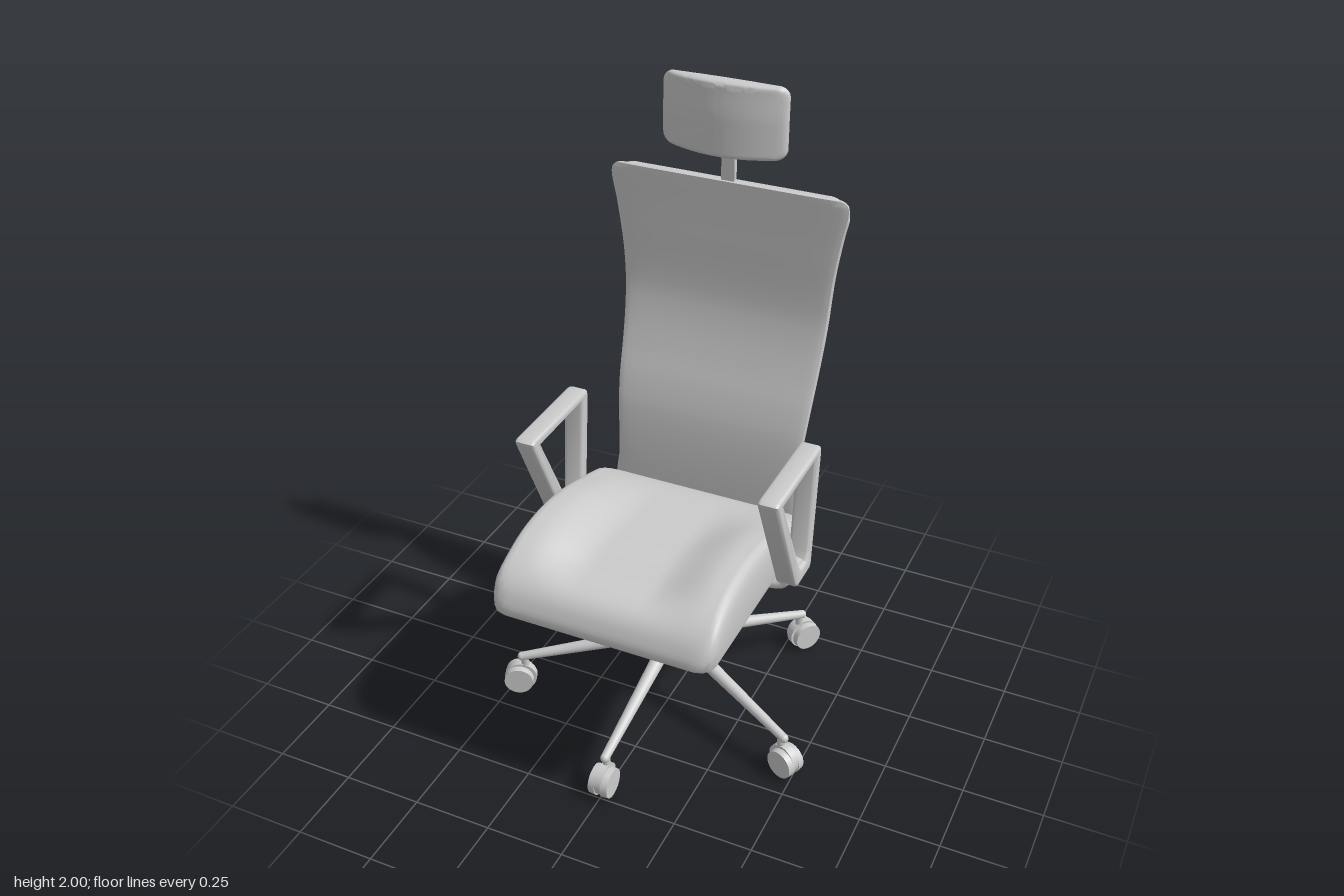
import * as THREE from 'three';
import { toCreasedNormals } from 'three/addons/utils/BufferGeometryUtils.js';

const V = (x, y, z) => new THREE.Vector3(x, y, z);
const material = new THREE.MeshStandardMaterial({ color: 0xcccccc });
const smooth = THREE.MathUtils.smoothstep;

function add(parent, name, geometry) {
  const mesh = new THREE.Mesh(geometry, material);
  mesh.name = name;
  parent.add(mesh);
  return mesh;
}

// Smooth interpolation through [input, value] pairs
function table(pts) {
  const slope = pts.map((p, i) => {
    const a = pts[Math.max(i - 1, 0)], b = pts[Math.min(i + 1, pts.length - 1)];
    return (b[1] - a[1]) / (b[0] - a[0]);
  });
  return (v) => {
    let i = 0;
    while (i < pts.length - 2 && v > pts[i + 1][0]) i++;
    const [x0, y0] = pts[i], [x1, y1] = pts[i + 1], h = x1 - x0;
    const t = Math.min(Math.max((v - x0) / h, 0), 1), t2 = t * t, t3 = t2 * t;
    return (2 * t3 - 3 * t2 + 1) * y0 + (t3 - 2 * t2 + t) * h * slope[i]
      + (3 * t2 - 2 * t3) * y1 + (t3 - t2) * h * slope[i + 1];
  };
}

// Skin closed rings of equal length, cap both ends, face outward
function loft(rings, crease = 0.8) {
  const n = rings[0].length, pts = rings.flat(), idx = [];
  for (let r = 0; r < rings.length - 1; r++)
    for (let i = 0; i < n; i++) {
      const a = r * n + i, b = r * n + (i + 1) % n;
      idx.push(a, b, b + n, a, b + n, a + n);
    }
  [[0, 1], [rings.length - 1, 0]].forEach(([r, flip]) => {
    const c = pts.push(rings[r].reduce((s, p) => s.add(p), V(0, 0, 0)).divideScalar(n)) - 1;
    for (let i = 0; i < n; i++) {
      const a = r * n + i, b = r * n + (i + 1) % n;
      idx.push(...(flip ? [c, b, a] : [c, a, b]));
    }
  });
  let volume = 0;
  for (let i = 0; i < idx.length; i += 3)
    volume += pts[idx[i]].dot(V(0, 0, 0).crossVectors(pts[idx[i + 1]], pts[idx[i + 2]]));
  if (volume < 0) idx.reverse();
  const g = new THREE.BufferGeometry().setFromPoints(pts);
  g.setIndex(idx);
  return toCreasedNormals(g, crease);
}

// Rounded oblong section, points in -1..1
const section = (n, e) => Array.from({ length: n }, (_, i) => {
  const a = (i + 0.5) / n * Math.PI * 2, c = Math.cos(a), s = Math.sin(a);
  return [Math.sign(c) * Math.abs(c) ** e, Math.sign(s) * Math.abs(s) ** e];
});

// Flat bar along a 2D path; depth runs d0..d1 and map places it in space
function ribbon(path, halfW, d0, d1, map, steps = 60) {
  const curve = new THREE.SplineCurve(path.map((p) => new THREE.Vector2(...p)));
  const sec = section(16, 0.5), rings = [];
  for (let i = 0; i <= steps; i++) {
    const p = curve.getPoint(i / steps), t = curve.getTangent(i / steps);
    rings.push(sec.map(([a, b]) => map(p.x - t.y * a * halfW, p.y + t.x * a * halfW, (d0 + d1) / 2 + b * (d1 - d0) / 2)));
  }
  return loft(rings);
}

// Cushion from concentric copies of a rounded rectangle; rings are [scale, level]
function cushion(hw, hh, r, rings, place) {
  const s = new THREE.Shape();
  s.absarc(hw - r, hh - r, r, 0, Math.PI / 2);
  s.absarc(r - hw, hh - r, r, Math.PI / 2, Math.PI);
  s.absarc(r - hw, r - hh, r, Math.PI, Math.PI * 1.5);
  s.absarc(hw - r, r - hh, r, Math.PI * 1.5, Math.PI * 2);
  s.closePath();
  const outline = s.getSpacedPoints(112).slice(0, -1);
  return loft(rings.map(([k, level]) => outline.map((p) => place(p.x * k, p.y * k, level))), 1);
}

// Tapered round rod between two points
function rod(a, b, r0, r1, sides = 20) {
  const d = b.clone().sub(a), g = new THREE.CylinderGeometry(r1, r0, d.length(), sides);
  g.applyQuaternion(new THREE.Quaternion().setFromUnitVectors(V(0, 1, 0), d.normalize()));
  const m = a.clone().add(b).multiplyScalar(0.5);
  return g.translate(m.x, m.y, m.z);
}

const mirrored = (half) => [...half, ...half.filter((p) => p[0] > 0).reverse().map(([x, y]) => [-x, y])];
const rows = (a, b, n) => Array.from({ length: n + 1 }, (_, i) => a + (b - a) * i / n);

function buildBase(root) {
  const base = new THREE.Group();
  base.name = 'starBase';
  base.position.z = -0.04;
  root.add(base);
  add(base, 'hub', rod(V(0, 0.19, 0), V(0, 0.29, 0), 0.055, 0.055, 32));
  add(base, 'gasColumn', rod(V(0, 0.28, 0), V(0, 0.46, 0), 0.032, 0.032, 28));
  add(base, 'piston', rod(V(0, 0.45, 0), V(0, 0.56, 0), 0.018, 0.018));
  for (const deg of [0, 67.5, -67.5, 143.5, -143.5]) {
    const leg = new THREE.Group();
    leg.name = 'leg';
    leg.rotation.y = THREE.MathUtils.degToRad(deg);
    base.add(leg);
    add(leg, 'spoke', rod(V(0, 0.25, 0.03), V(0, 0.133, 0.5), 0.025, 0.014));
    add(leg, 'spokeTip', new THREE.SphereGeometry(0.0145, 14, 10).translate(0, 0.133, 0.5));
    add(leg, 'casterStem', rod(V(0, 0.07, 0.49), V(0, 0.13, 0.49), 0.013, 0.013, 14));
    add(leg, 'casterHood', rod(V(-0.012, 0.054, 0.505), V(0.012, 0.054, 0.505), 0.052, 0.052, 28));
    for (const s of [-1, 1])
      add(leg, 'wheel', rod(V(s * 0.01, 0.049, 0.511), V(s * 0.032, 0.049, 0.511), 0.049, 0.047, 28));
  }
}

function buildSeat(root) {
  const top = table([[-0.27, 0.665], [-0.2, 0.7], [-0.07, 0.742], [0.05, 0.775], [0.18, 0.79],
    [0.3, 0.78], [0.4, 0.745], [0.46, 0.7], [0.495, 0.645]]);
  const rings = [...rows(0.02, 0.94, 22).map((s) => [s, 0]), [0.965, 0.04], [0.985, 0.13], [0.997, 0.28],
    [1, 0.45], [1, 0.85], [0.985, 1], [0.9, 1], [0.5, 1], [0.02, 1]];
  add(root, 'seatCushion', cushion(0.355, 0.38, 0.05, rings, (x, v, level) => {
    const z = v + 0.113;
    const dip = 0.05 * (1 - smooth(Math.abs(x), 0.1, 0.29)) * smooth(z, -0.25, 0.1) * (1 - smooth(z, 0.3, 0.48));
    return V(x, THREE.MathUtils.lerp(top(z) - dip, 0.603, level), z);
  }));

  // Tilt mechanism and cross carrier under the seat
  const flat = section(32, 0.35);
  const body = [[0.24, 0.06], [0.22, 0.1], [0.12, 0.12], [0, 0.13], [-0.12, 0.13], [-0.2, 0.16], [-0.28, 0.22]];
  add(root, 'tiltMechanism', loft(body.map(([z, w]) => flat.map(([a, b]) => V(a * w, 0.557 + b * 0.028, z)))));
  add(root, 'seatMount', new THREE.BoxGeometry(0.3, 0.04, 0.3).translate(0, 0.592, -0.02));
  add(root, 'armCarrier', ribbon(mirrored([[0.388, 0.64], [0.383, 0.602], [0.34, 0.58], [0.16, 0.562], [0, 0.56]]),
    0.018, -0.13, 0, (x, y, d) => V(x, y, d)));
  add(root, 'leverArm', rod(V(0, 0.57, 0.21), V(0, 0.45, 0.245), 0.02, 0.016));
  add(root, 'leverHandle', rod(V(0, 0.462, 0.238), V(0, 0.412, 0.26), 0.033, 0.035, 24));
}

function buildArms(root) {
  const pts = (list) => list.map((p) => new THREE.Vector2(...p));
  const shape = new THREE.Shape(pts([[0.183, 1.0], [0.17, 1.008], [-0.155, 1.01], [-0.168, 1.005], [-0.172, 0.985],
    [-0.138, 0.6], [-0.125, 0.585], [-0.02, 0.585], [0.002, 0.605], [0.18, 0.985]]));
  shape.holes.push(new THREE.Path(pts([[0.135, 0.978], [-0.03, 0.655], [-0.05, 0.635], [-0.09, 0.635], [-0.104, 0.66], [-0.13, 0.982]])));
  for (const s of [-1, 1]) {
    const g = new THREE.ExtrudeGeometry(shape, { depth: 0.043, bevelThickness: 0.011, bevelSize: 0.009, bevelOffset: -0.009, bevelSegments: 3 });
    g.rotateY(-Math.PI / 2).translate(s * 0.388 + 0.0215, 0, 0);
    add(root, s > 0 ? 'leftArmrest' : 'rightArmrest', toCreasedNormals(g, 0.6));
  }
}

function buildBack(root) {
  const front = table([[0.52, -0.27], [0.75, -0.275], [0.9, -0.29], [1, -0.315], [1.1, -0.35],
    [1.2, -0.38], [1.3, -0.398], [1.5, -0.402], [1.68, -0.402]]);
  const width = table([[0.52, 0.31], [0.8, 0.308], [1, 0.32], [1.2, 0.33], [1.4, 0.342], [1.55, 0.363],
    [1.63, 0.379], [1.655, 0.378], [1.668, 0.37], [1.677, 0.35]]);
  const wrap = (x, y, d) => V(x, y, front(y) - d);
  const sec = section(28, 0.4);
  const slab = (ys, w, d0, d1) => loft(ys.map((y) => sec.map(([a, b]) => wrap(a * w(y), y, (d0 + d1) / 2 + b * (d1 - d0) / 2))));

  // Front panel, rear frame and the lumbar yoke behind it
  add(root, 'backPanel', slab([...rows(0.54, 1.63, 44), 1.645, 1.655, 1.663, 1.67, 1.675], width, 0, 0.018));
  const side = [0.56, 0.8, 1, 1.2, 1.4, 1.55].map((y) => [width(y) - 0.026, y]);
  add(root, 'backFrame', ribbon(mirrored([...side, [0.349, 1.62], [0.325, 1.646], [0.27, 1.649], [0, 1.649]]), 0.026, 0.006, 0.04, wrap, 160));
  add(root, 'lowerBackPlate', slab(rows(0.525, 0.79, 14), (y) => 0.325 - 0.017 * smooth(y, 0.6, 0.78), 0.008, 0.045));
  add(root, 'lumbarYoke', ribbon(mirrored([[0.29, 1.01], [0.22, 1.012], [0.15, 1.0], [0.118, 0.95], [0.1, 0.87], [0.06, 0.815], [0, 0.808]]),
    0.026, 0.012, 0.055, wrap, 100));

  // Headrest with hollow back, on its post
  const rings = [...rows(0.02, 0.92, 12).map((s) => [s, 0]), [0.97, 0.08], [1, 0.3], [1, 0.75], [0.97, 1],
    [0.78, 1], [0.7, 0.6], [0.62, 0.5], [0.3, 0.5], [0.02, 0.5]];
  add(root, 'headrest', cushion(0.193, 0.112, 0.03, rings, (x, v, level) => {
    const q = (x / 0.193) ** 2;
    const y = 1.887 + v * (1 - 0.06 * q);
    return V(x, y, THREE.MathUtils.lerp(-0.327 - 0.045 * q - 0.006 * smooth(v, 0, 0.11), -0.386 - 0.01 * q, level));
  }));
  add(root, 'headrestPost', new THREE.BoxGeometry(0.042, 0.25, 0.018).translate(0, 1.755, -0.42));
  add(root, 'headrestBracket', new THREE.BoxGeometry(0.042, 0.05, 0.07).translate(0, 1.86, -0.39));
  add(root, 'headrestSlide', new THREE.BoxGeometry(0.15, 0.045, 0.02).translate(0, 1.875, -0.362));
}

export function createModel() {
  const root = new THREE.Group();
  root.name = 'officeChair';
  buildBase(root);
  buildSeat(root);
  buildArms(root);
  buildBack(root);
  return root;
}
